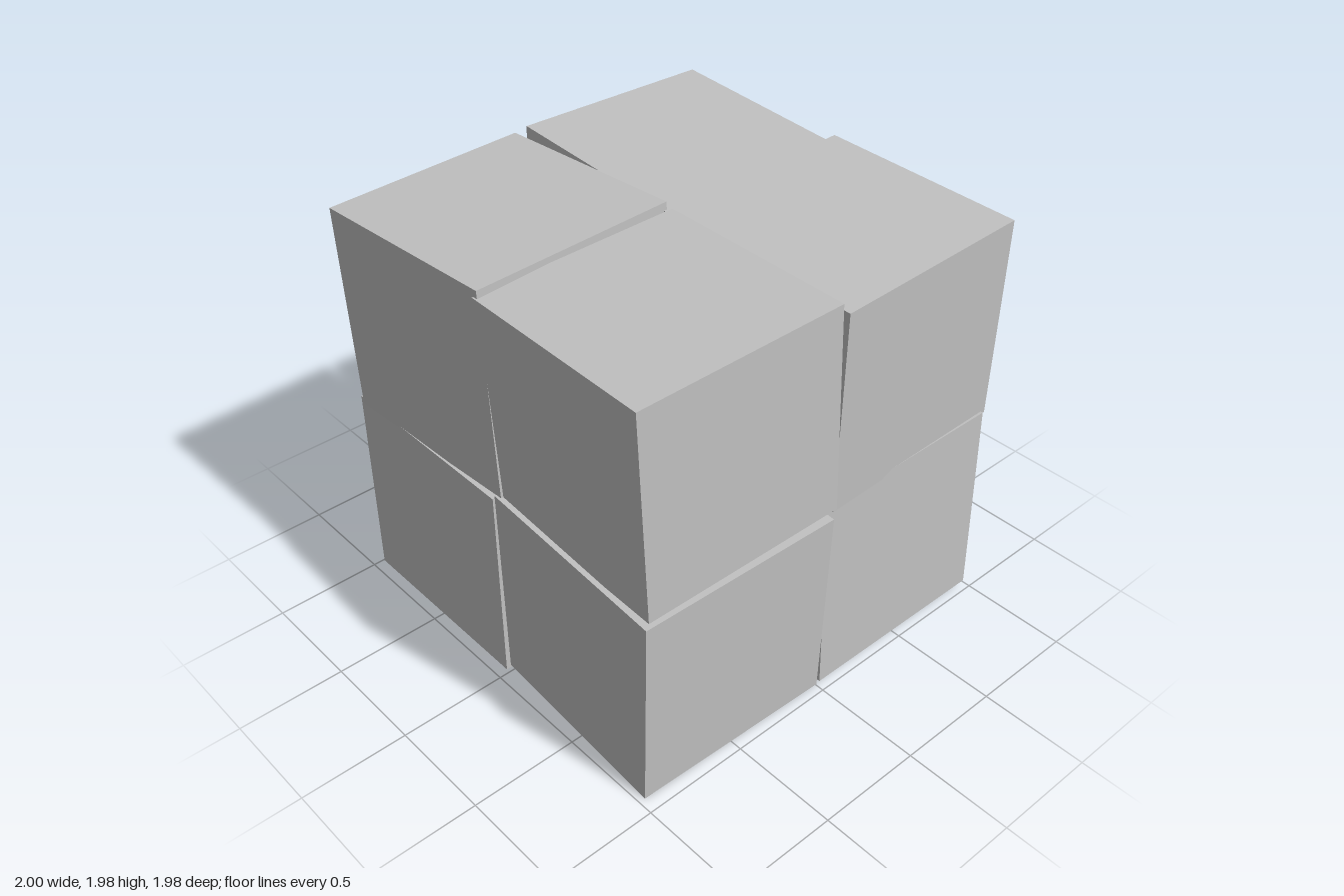
import * as THREE from 'three';

export function createModel() {
  const group = new THREE.Group();
  const grey = new THREE.MeshStandardMaterial({ color: 0xc0c0c0 });
  grey.name = 'light grey';

  const size = 0.966;
  const block = new THREE.BoxGeometry(size, size, size);

  // Eight loosely stacked blocks: name, side signs (x, y, z), small tilt (x, y, z)
  const blocks = [
    ['upperFrontRightBlock', [-1, 1, 1], [0.012, 0.03, 0.035]],
    ['upperFrontLeftBlock', [1, 1, 1], [0.036, -0.037, 0.016]],
    ['lowerFrontRightBlock', [-1, -1, 1], [0, 0, -0.003]],
    ['lowerFrontLeftBlock', [1, -1, 1], [0.013, -0.035, -0.037]],
    ['upperBackLeftBlock', [1, 1, -1], [0.026, 0.01, -0.028]],
    ['upperBackRightBlock', [-1, 1, -1], [-0.008, -0.025, -0.038]],
    ['lowerBackRightBlock', [-1, -1, -1], [-0.003, 0.033, -0.033]],
    ['lowerBackLeftBlock', [1, -1, -1], [0.01, -0.01, 0.022]],
  ];

  for (const [name, side, tilt] of blocks) {
    const mesh = new THREE.Mesh(block, grey);
    mesh.name = name;
    mesh.position.fromArray(side).multiplyScalar(size / 2).add(new THREE.Vector3(0, 0.99, -0.006));
    mesh.rotation.set(...tilt);
    group.add(mesh);
  }
  return group;
}
